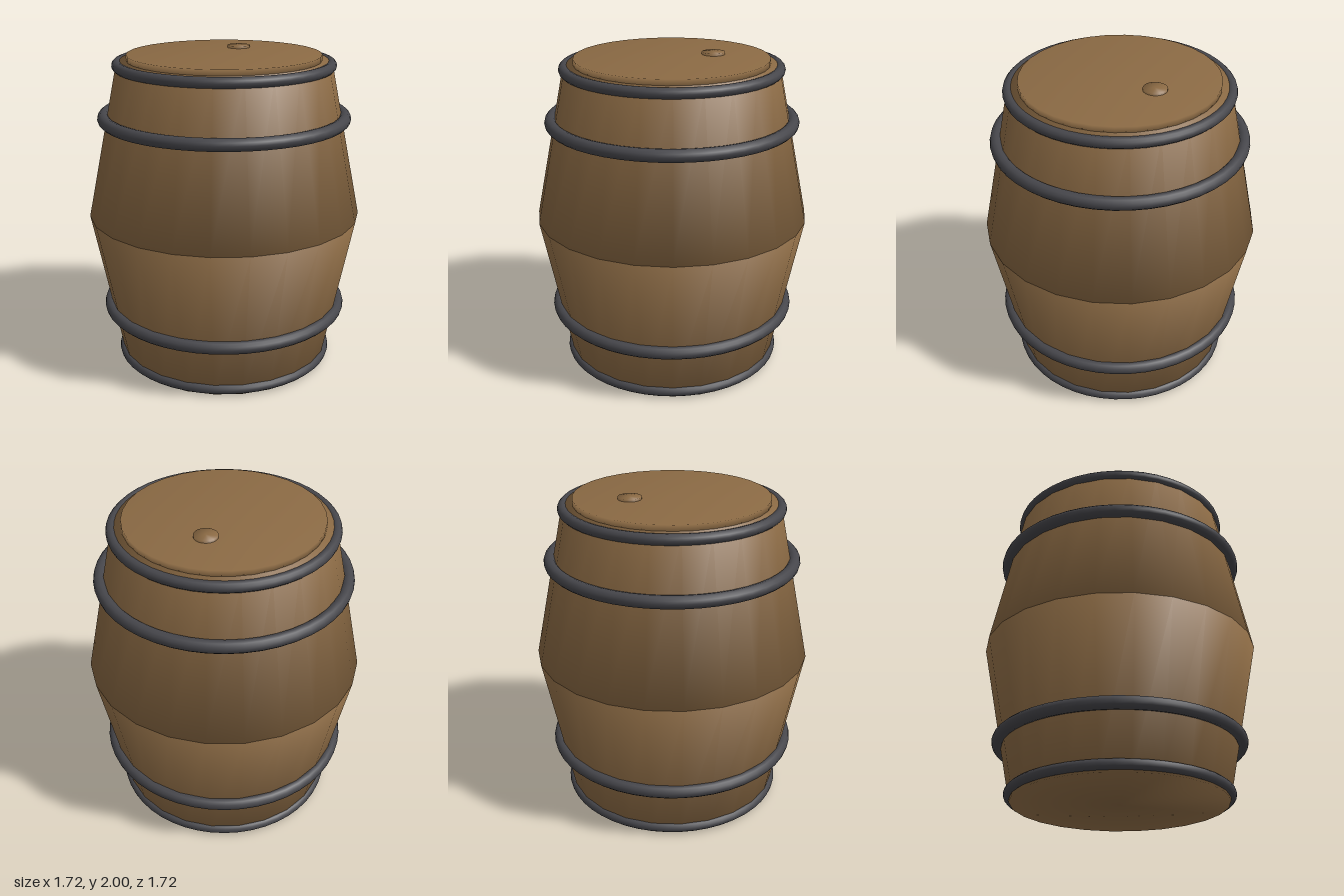
import * as THREE from 'three';
import { mergeVertices } from 'three/addons/utils/BufferGeometryUtils.js';

// Capped cylinder whose normals blend over the rims
function softCylinder(rTop, rBottom, height, sides) {
  const geo = new THREE.CylinderGeometry(rTop, rBottom, height, sides);
  geo.deleteAttribute('normal');
  geo.deleteAttribute('uv');
  const merged = mergeVertices(geo, 1e-4);
  merged.computeVertexNormals();
  return merged;
}

export function createModel() {
  const wood = new THREE.MeshStandardMaterial({ color: 0x8b6a44 });
  wood.name = 'wood';
  const iron = new THREE.MeshStandardMaterial({ color: 0x46464b });
  iron.name = 'iron';

  const barrel = new THREE.Group();
  barrel.name = 'barrel';
  const add = (name, geometry, material, x, y, z) => {
    const mesh = new THREE.Mesh(geometry, material);
    mesh.name = name;
    mesh.position.set(x, y, z);
    barrel.add(mesh);
    return mesh;
  };

  // Body: two tapered halves meeting at the widest line
  const belly = 0.86, middle = 0.98, top = 1.95;
  add('lowerBody', softCylinder(belly, 0.665, middle, 24), wood, 0, middle / 2, 0);
  add('upperBody', softCylinder(0.66, belly, top - middle, 24), wood, 0, (top + middle) / 2, 0);

  // Lid and bung
  add('lid', softCylinder(0.6, 0.6, 0.06, 32), wood, 0, 1.955, 0);
  add('bung', softCylinder(0.072, 0.072, 0.04, 20), wood, 0.23, 1.98, -0.13);

  // Hoops: height, ring radius, tube radius
  const hoops = [
    ['bottomHoop', 0.042, 0.67, 0.031],
    ['lowerHoop', 0.363, 0.75, 0.039],
    ['upperHoop', 1.598, 0.75, 0.039],
    ['topHoop', 1.922, 0.657, 0.033],
  ];
  for (const [name, y, radius, tube] of hoops) {
    const ring = new THREE.TorusGeometry(radius, tube, 12, 48).rotateX(Math.PI / 2);
    add(name, ring, iron, 0, y, 0);
  }
  return barrel;
}
